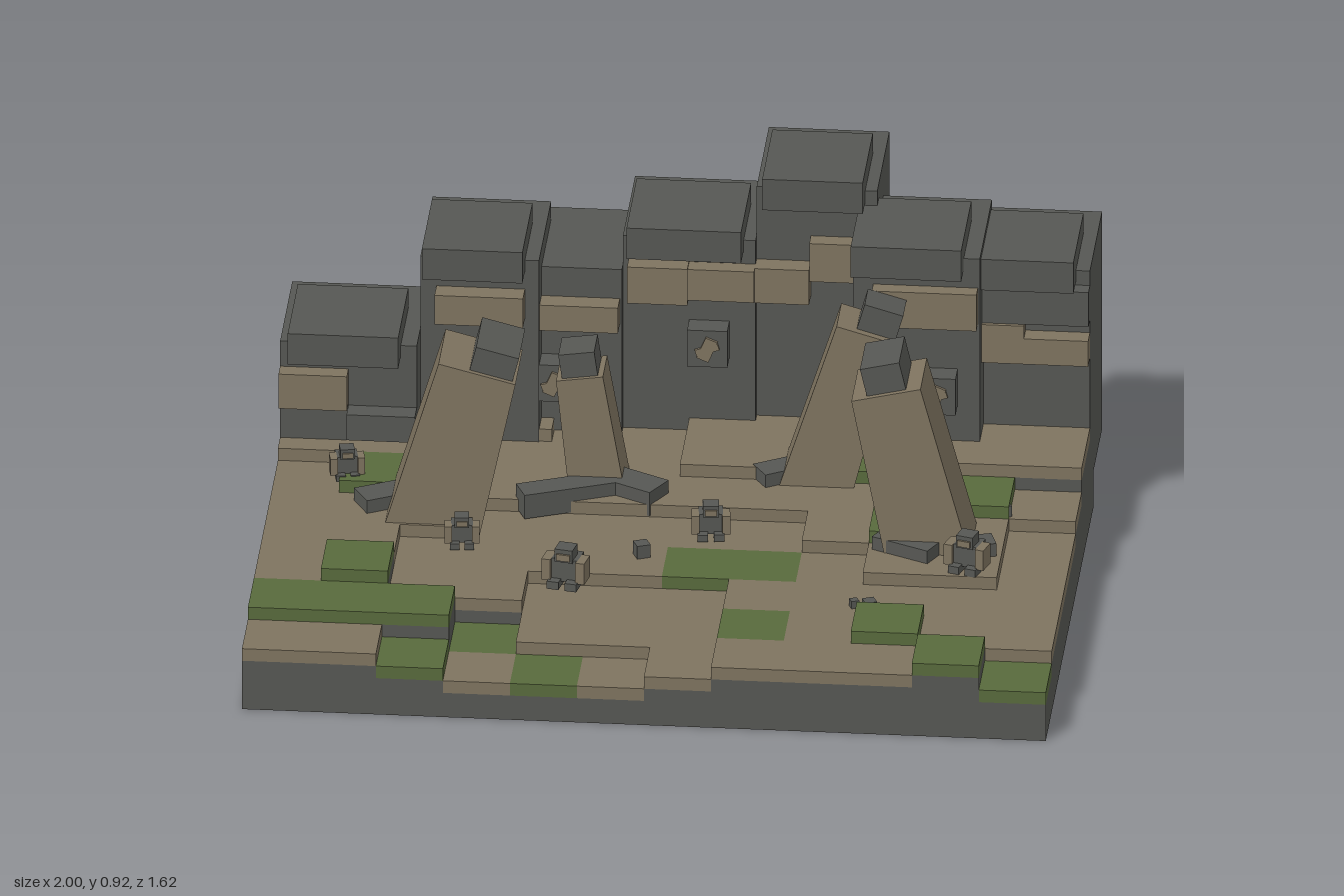
import * as THREE from 'three';

export function createModel() {
  const model = new THREE.Group();
  const mat = (name, color) => {
    const m = new THREE.MeshStandardMaterial({ color });
    m.name = name;
    return m;
  };
  const stone = mat('dark stone', 0x565753);
  const sand = mat('sandstone', 0x7e735f);
  const moss = mat('moss', 0x586a3c);

  // box from its min and max corners
  const block = (name, m, x0, x1, y0, y1, z0, z1, parent = model) => {
    const mesh = new THREE.Mesh(new THREE.BoxGeometry(x1 - x0, y1 - y0, z1 - z0), m);
    mesh.position.set((x0 + x1) / 2, (y0 + y1) / 2, (z0 + z1) / 2);
    mesh.name = name;
    parent.add(mesh);
    return mesh;
  };

  // stepped ground tiles, rows from front to back; capitals are mossy (level A = 3 ...), '.' is empty
  const rows = [
    '554333455564', '666344455655', '675544455555', '665555555665', '666555556765',
    '677666666676', '777666777888', '777766778888', '.7777777888.',
  ];
  const mossy = [
    '  x x     xx', 'xxxx   x x  ', ' x          ', '      xx    ', '         x  ',
    ' xx       x ', '        x   ', '', '',
  ];
  const ground = new THREE.Group();
  ground.name = 'ground';
  model.add(ground);
  const T = 1 / 6, step = 1 / 30;
  rows.forEach((row, r) => {
    for (let c = 0; c < 12; c++) {
      if (row[c] === '.') continue;
      const top = Number(row[c]) * step, x = -1 + c * T, z = 0.81 - r * 0.1656;
      block('groundBlock', stone, x, x + T, 0, top - step, z - 0.1656, z, ground);
      block('groundTile', mossy[r][c] === 'x' ? moss : sand, x, x + T, top - step, top, z - 0.1656, z, ground);
    }
  });

  // cliff columns: x0, x1, top, back z, then cap x0, x1 (equal means no cap)
  const cliffs = [
    [-1, -0.66, 0.5, -0.58, -0.975, -0.7],
    [-0.66, -0.365, 0.7, -0.68, -0.65, -0.4],
    [-0.4, -0.165, 0.65, -0.75, 0, 0],
    [-0.165, 0.165, 0.73, -0.78, -0.15, 0.135],
    [0.165, 0.465, 0.865, -0.81, 0.185, 0.435],
    [0.42, 0.735, 0.77, -0.645, 0.42, 0.695],
    [0.7, 1, 0.7, -0.745, 0.73, 0.965],
  ];
  for (const [x0, x1, top, back, c0, c1] of cliffs) {
    block('cliff', stone, x0, x1, 0.1, top, back, back + 0.335);
    if (c1 > c0) block('cliffCap', stone, c0, c1, top - 0.03, top + 0.055, back + 0.125, back + 0.405);
  }

  // protruding ledges on the cliff faces: x0, x1, y0, y1, back z, front z, material
  const ledges = [
    [-1, -0.83, 0.335, 0.43, -0.26, -0.2, sand],
    [-0.83, -0.66, 0.26, 0.33, -0.26, -0.19, stone],
    [-0.62, -0.4, 0.54, 0.62, -0.36, -0.29, sand],
    [-0.365, -0.17, 0.5, 0.57, -0.43, -0.36, sand],
    [-0.15, 0, 0.57, 0.67, -0.46, -0.39, sand],
    [0, 0.165, 0.58, 0.665, -0.46, -0.4, sand],
    [0.165, 0.3, 0.57, 0.665, -0.49, -0.42, sand],
    [0.3, 0.42, 0.63, 0.735, -0.49, -0.43, sand],
    [0.47, 0.73, 0.59, 0.69, -0.33, -0.27, sand],
    [0.735, 0.84, 0.46, 0.565, -0.43, -0.36, sand],
    [0.84, 1, 0.46, 0.53, -0.43, -0.36, sand],
    [0.735, 1, 0.565, 0.66, -0.43, -0.37, stone],
  ];
  for (const [x0, x1, y0, y1, z0, z1, m] of ledges) block('ledge', m, x0, x1, y0, y1, z0, z1);

  // carved plaques with a pale chiselled mark
  for (const [x, y, z] of [[0.05, 0.455, -0.385], [0.63, 0.415, -0.25], [-0.33, 0.36, -0.35]]) {
    block('plaque', stone, x - 0.05, x + 0.05, y - 0.05, y + 0.05, z - 0.07, z);
    const mark = block('plaqueMark', sand, x - 0.016, x + 0.016, y - 0.03, y + 0.03, z, z + 0.008);
    mark.rotation.z = -0.4;
    block('plaqueMark', sand, x - 0.03, x + 0.03, y - 0.008, y + 0.008, z, z + 0.008).rotation.z = 0.3;
  }

  // leaning tapered pillars with a broken dark top
  const pillar = (x, z, lean, w, d, h, capW, capD, capH, capX) => {
    const g = new THREE.Group();
    g.name = 'leaningPillar';
    const geo = new THREE.BoxGeometry(w, h, d);
    const p = geo.attributes.position;
    for (let i = 0; i < p.count; i++) {
      if (p.getY(i) > 0) p.setXYZ(i, p.getX(i) * 0.84, p.getY(i), p.getZ(i) * 0.94);
    }
    geo.computeVertexNormals();
    const shaft = new THREE.Mesh(geo, sand);
    shaft.name = 'pillarShaft';
    shaft.position.y = h / 2;
    g.add(shaft);
    block('pillarTop', stone, capX - capW / 2, capX + capW / 2, h - 0.03, h + capH, -capD / 2, capD / 2, g);
    g.position.set(x, 0.17, z);
    g.rotation.z = lean;
    model.add(g);
  };
  pillar(-0.59, 0.035, -0.25, 0.235, 0.21, 0.46, 0.11, 0.17, 0.065, 0.035);
  pillar(0.655, 0.105, 0.23, 0.21, 0.19, 0.475, 0.1, 0.15, 0.075, 0);
  pillar(-0.195, -0.155, 0.14, 0.14, 0.13, 0.335, 0.09, 0.1, 0.065, 0);
  pillar(0.335, -0.225, -0.28, 0.18, 0.14, 0.47, 0.1, 0.09, 0.07, 0.025);

  // fallen slabs: x, z, length, width, turn
  const slabs = [
    [-0.72, 0.03, 0.12, 0.08, 0.5], [-0.27, -0.05, 0.24, 0.07, 0.4], [-0.11, -0.09, 0.16, 0.085, -0.5],
    [0.6, 0.18, 0.16, 0.08, -0.45], [0.25, -0.2, 0.12, 0.07, 0.55], [0.76, 0.18, 0.11, 0.06, 0.3],
  ];
  for (const [x, z, l, w, turn] of slabs) {
    block('fallenSlab', stone, x - l / 2, x + l / 2, 0.17, 0.235, z - w / 2, z + w / 2).rotation.y = turn;
  }

  // small squat stone figures
  const figure = (x, y, z, turn, s = 1) => {
    const g = new THREE.Group();
    g.name = 'stoneFigure';
    block('figureBody', stone, -0.03, 0.03, 0.012, 0.065, -0.025, 0.025, g);
    block('figureHead', stone, -0.02, 0.02, 0.06, 0.09, -0.01, 0.03, g);
    block('figureFace', sand, -0.015, 0.015, 0.065, 0.08, 0.03, 0.035, g);
    for (const side of [-1, 1]) {
      const limb = (name, m, cx, y0, y1, z0, z1, w) =>
        block(name, m, side * cx - w, side * cx + w, y0, y1, z0, z1, g);
      limb('figureArm', sand, 0.038, 0.015, 0.065, -0.01, 0.035, 0.01);
      limb('figureFoot', stone, 0.02, 0, 0.018, -0.02, 0.045, 0.013);
    }
    g.position.set(x, y, z);
    g.rotation.y = turn;
    g.scale.setScalar(s);
    model.add(g);
  };
  figure(-0.82, 0.22, -0.08, 0.2, 0.9);
  figure(0.1, 0.17, 0.07, 0.1);
  figure(-0.23, 0.17, 0.37, -0.2, 1.15);
  figure(0.76, 0.2, 0.26, -0.3, 1.1);
  figure(-0.51, 0.17, 0.175, 0.1, 0.9);

  // loose pebbles
  for (const [x, y, z, s] of [[0.49, 0.167, 0.44, 0.02], [0.53, 0.167, 0.46, 0.03], [0.82, 0.2, -0.04, 0.03],
    [-0.06, 0.167, 0.2, 0.035]]) {
    block('pebble', stone, x - s / 2, x + s / 2, y, y + s, z - s / 2, z + s / 2).rotation.y = 0.4;
  }
  return model;
}
